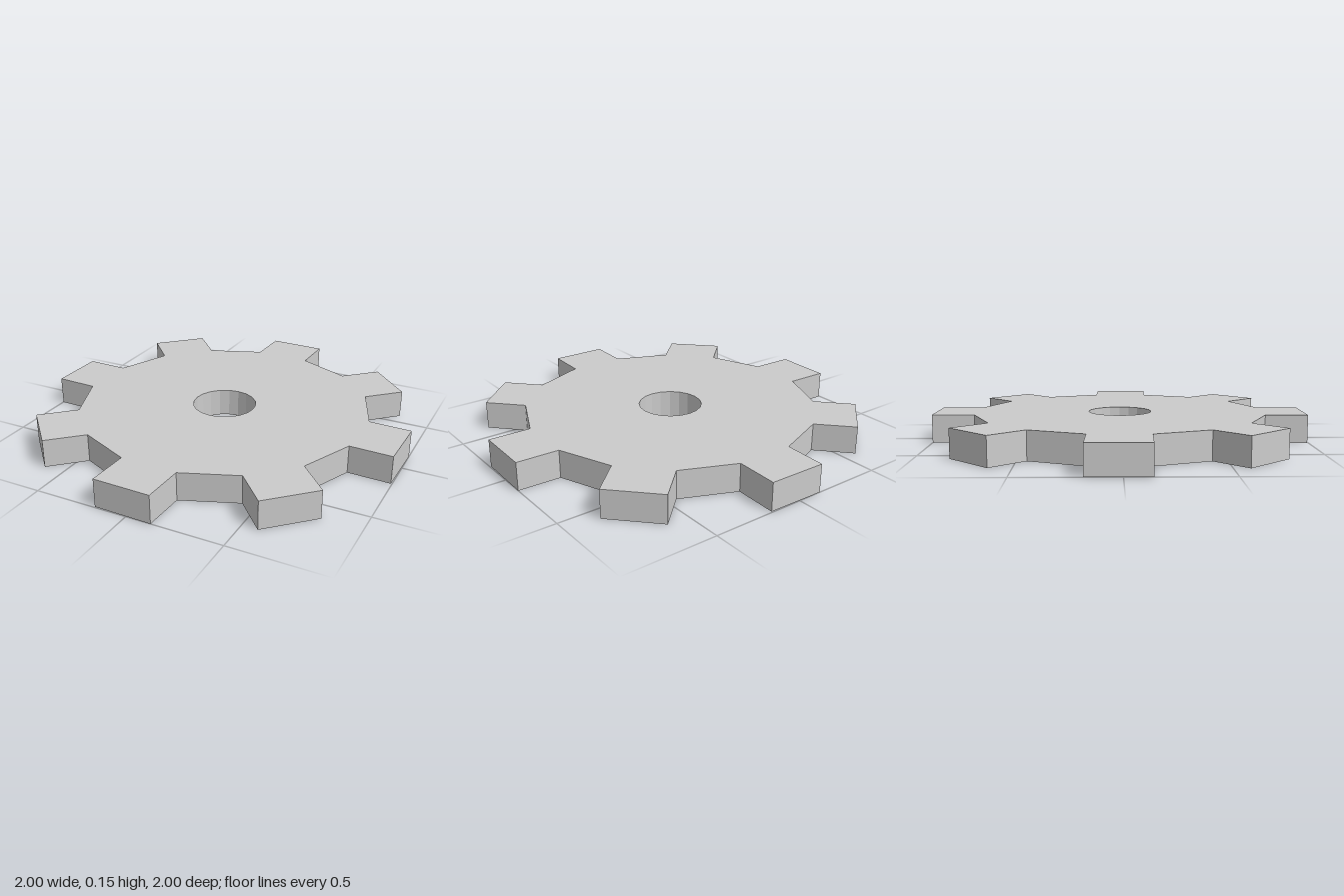
import * as THREE from 'three';

export function createModel() {
  const group = new THREE.Group();
  const teeth = 8, thickness = 0.15, holeRadius = 0.17, holeSides = 20;

  // One slightly skewed tooth, repeated around the disc
  const tooth = [[0.166, 0.768], [0.173, 0.994], [-0.132, 1.0], [-0.139, 0.774]];
  const outline = [];
  for (let i = 0; i < teeth; i++) {
    const angle = (i / teeth) * Math.PI * 2;
    for (const [x, y] of tooth) {
      outline.push(new THREE.Vector2(x, y).rotateAround(new THREE.Vector2(), angle));
    }
  }
  const shape = new THREE.Shape(outline);

  // Faceted axle hole
  const hole = [];
  for (let i = 0; i < holeSides; i++) {
    const a = (i / holeSides) * Math.PI * 2;
    hole.push(new THREE.Vector2(Math.cos(a) * holeRadius, Math.sin(a) * holeRadius));
  }
  shape.holes.push(new THREE.Path(hole));

  // Lay the gear flat on the ground
  const geometry = new THREE.ExtrudeGeometry(shape, { depth: thickness, bevelEnabled: false });
  geometry.rotateX(-Math.PI / 2);
  const gear = new THREE.Mesh(
    geometry,
    new THREE.MeshStandardMaterial({ color: 0xcccccc, flatShading: true })
  );
  gear.name = 'gear';
  group.add(gear);
  return group;
}
